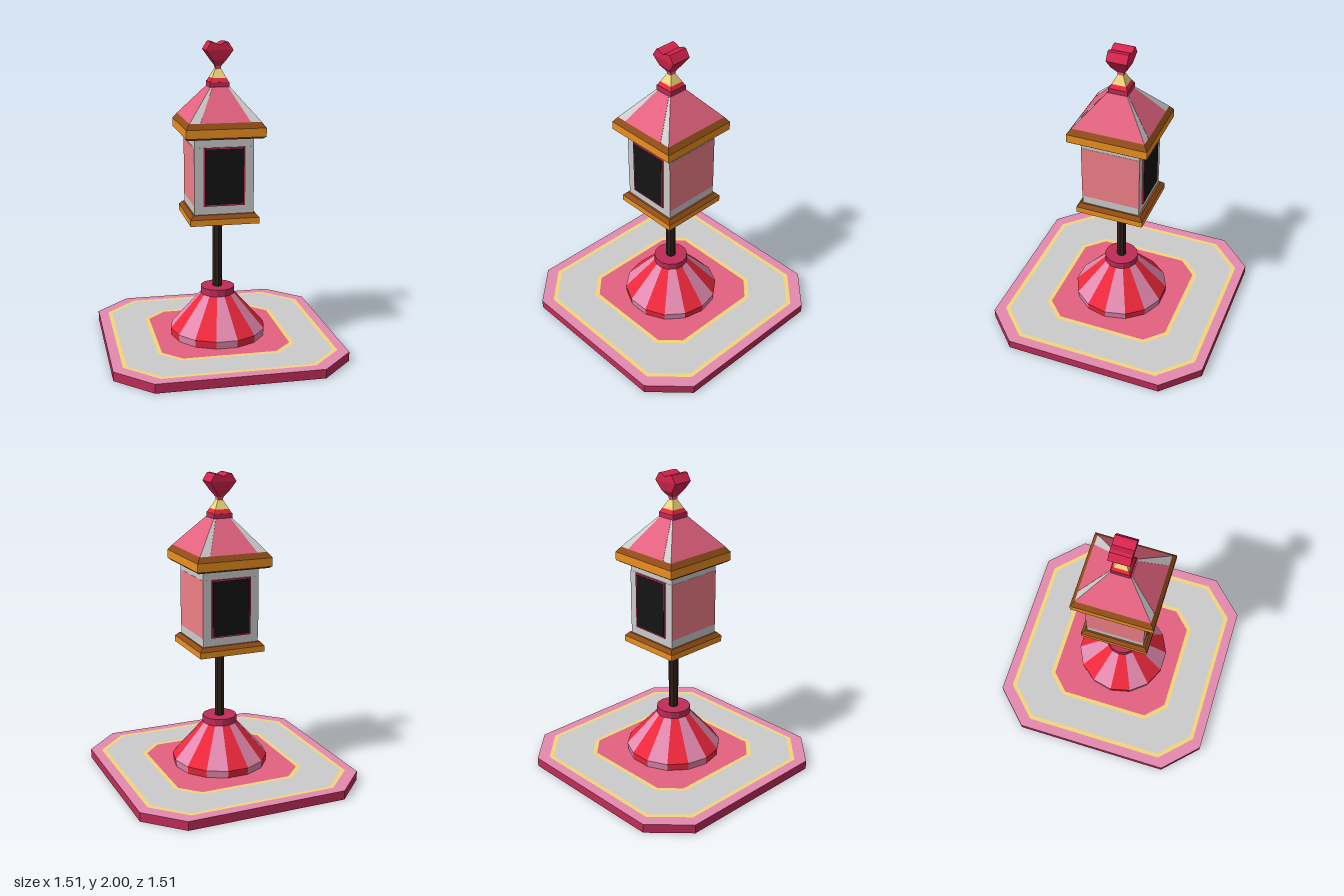
import * as THREE from 'three';

const mat = (color) => new THREE.MeshStandardMaterial({ color, flatShading: true });
const GREY = mat(0xcccccc), PINK = mat(0xe48ab0), CRIMSON = mat(0xc02c58), YELLOW = mat(0xf4d67c);
const ROSE = mat(0xe46280), RED = mat(0xee283c), ORANGE = mat(0xec901e), BROWN = mat(0x8f4c18);
const BLACK = mat(0x141414), DARK = mat(0x2e2017), SALMON = mat(0xf08088), HEART = mat(0xd8244e);

const CX = 0.004, CZ = 0.013; // axis of the post and everything on it

function add(parent, name, geometry, material) {
  const mesh = new THREE.Mesh(geometry, material);
  mesh.name = name;
  parent.add(mesh);
  return mesh;
}

// Square block whose top and bottom may differ in half width and half depth
function block(y0, y1, [bx, bz], [tx, tz] = [bx, bz]) {
  const geo = new THREE.BoxGeometry(2, 2, 2);
  const p = geo.attributes.position;
  for (let i = 0; i < p.count; i++) {
    const top = p.getY(i) > 0;
    p.setXYZ(i, p.getX(i) * (top ? tx : bx), top ? y1 : y0, p.getZ(i) * (top ? tz : bz));
  }
  geo.computeVertexNormals();
  return geo;
}

// Square with cut corners: r is the half side, c where the cut begins
function octagon(r, c) {
  const pts = [[r, -c], [r, c], [c, r], [-c, r], [-r, c], [-r, -c], [-c, -r], [c, -r]];
  return new THREE.Shape(pts.map(([x, y]) => new THREE.Vector2(x, y)));
}

function buildBase() {
  const base = new THREE.Group();
  base.name = 'base';
  const slab = new THREE.ExtrudeGeometry(octagon(0.755, 0.53), { depth: 0.06, bevelEnabled: false });
  add(base, 'slab', slab.rotateX(-Math.PI / 2), [PINK, CRIMSON]);
  // Inlaid bands, from the outside in
  const bands = [
    ['outerStripe', 0.69, 0.485, YELLOW], ['paving', 0.663, 0.473, GREY],
    ['innerStripe', 0.448, 0.315, YELLOW], ['centrePanel', 0.421, 0.303, ROSE],
  ];
  bands.forEach(([name, r, c, material], i) => {
    const shape = octagon(r, c);
    if (bands[i + 1]) shape.holes.push(octagon(bands[i + 1][1], bands[i + 1][2]));
    const geo = new THREE.ShapeGeometry(shape).rotateX(-Math.PI / 2);
    add(base, name, geo, material).position.y = 0.0612;
  });
  return base;
}

function buildFoot() {
  const foot = new THREE.Group();
  foot.name = 'foot';
  foot.position.set(0, 0, CZ);
  // Striped tent-shaped foot, one wedge per stripe
  const n = 14, step = (Math.PI * 2) / n;
  const profile = [[0.312, 0.06], [0.318, 0.11], [0.112, 0.345]].map(([x, y]) => new THREE.Vector2(x, y));
  for (let i = 0; i < n; i++) {
    const wedge = new THREE.LatheGeometry(profile, 1, (i - 0.5) * step, step);
    add(foot, 'footStripe', wedge, i % 2 ? RED : PINK);
  }
  const collar = new THREE.CylinderGeometry(0.113, 0.113, 0.05, n, 1, false, -step / 2);
  add(foot, 'collar', collar, CRIMSON).position.y = 0.365;
  add(foot, 'post', new THREE.CylinderGeometry(0.032, 0.032, 0.48, 8), DARK).position.y = 0.627;
  return foot;
}

function buildLantern() {
  const lantern = new THREE.Group();
  lantern.name = 'lantern';
  lantern.position.set(CX, 0, CZ);
  // Sides orange, underside and top brown
  const trim = [ORANGE, ORANGE, BROWN, BROWN, ORANGE, ORANGE];

  add(lantern, 'floorTrim', block(0.865, 0.905, [0.222, 0.227]), trim);
  add(lantern, 'floorBevel', block(0.905, 0.93, [0.222, 0.227], [0.2, 0.205]), BROWN);
  add(lantern, 'body', block(0.93, 1.42, [0.19, 0.193]), GREY);
  add(lantern, 'sidePanels', block(0.985, 1.36, [0.1915, 0.1945]), [SALMON, SALMON, GREY, GREY, GREY, GREY]);
  add(lantern, 'windowFrames', block(0.985, 1.36, [0.134, 0.203]), CRIMSON);
  add(lantern, 'windowPanes', block(0.994, 1.351, [0.126, 0.2045]), BLACK);

  add(lantern, 'eaveUnderside', block(1.417, 1.43, [0.238, 0.243], [0.254, 0.263]), BROWN);
  add(lantern, 'eaveTrim', block(1.43, 1.485, [0.254, 0.263]), trim);
  add(lantern, 'eaveBevel', block(1.485, 1.52, [0.254, 0.263], [0.228, 0.238]), BROWN);

  // Rose roof with grey corner wedges on the front and back slopes
  add(lantern, 'roof', block(1.52, 1.72, [0.228, 0.238], [0.063, 0.065]), [ROSE, ROSE, ROSE, ROSE, GREY, GREY]);
  add(lantern, 'roofPanels', block(1.52, 1.72, [0.16, 0.2395], [0.05, 0.0665]), ROSE);
  return lantern;
}

function buildFinial() {
  const finial = new THREE.Group();
  finial.name = 'finial';
  finial.position.set(0.002, 0, 0.01);
  add(finial, 'roofCap', block(1.715, 1.75, [0.063, 0.063]), CRIMSON);
  add(finial, 'redBand', block(1.75, 1.775, [0.06, 0.06], [0.047, 0.047]), RED);
  add(finial, 'yellowSpire', block(1.775, 1.83, [0.047, 0.047], [0.018, 0.018]), YELLOW);
  add(finial, 'stem', block(1.83, 1.848, [0.018, 0.018], [0.018, 0.022]), ROSE);
  // Faceted heart
  add(finial, 'heartTip', block(1.848, 1.89, [0.018, 0.022], [0.046, 0.054]), HEART);
  add(finial, 'heartMiddle', block(1.89, 1.95, [0.046, 0.054], [0.088, 0.067]), HEART);
  const lobes = new THREE.Shape([
    [-0.088, 1.95], [0.088, 1.95], [0.056, 2], [0.035, 2], [0, 1.983], [-0.035, 2], [-0.056, 2],
  ].map(([x, y]) => new THREE.Vector2(x, y)));
  const top = new THREE.ExtrudeGeometry(lobes, { depth: 0.134, bevelEnabled: false });
  add(finial, 'heartLobes', top.translate(0, 0, -0.067), HEART);
  return finial;
}

export function createModel() {
  const model = new THREE.Group();
  model.name = 'lanternPost';
  model.add(buildBase(), buildFoot(), buildLantern(), buildFinial());
  return model;
}
